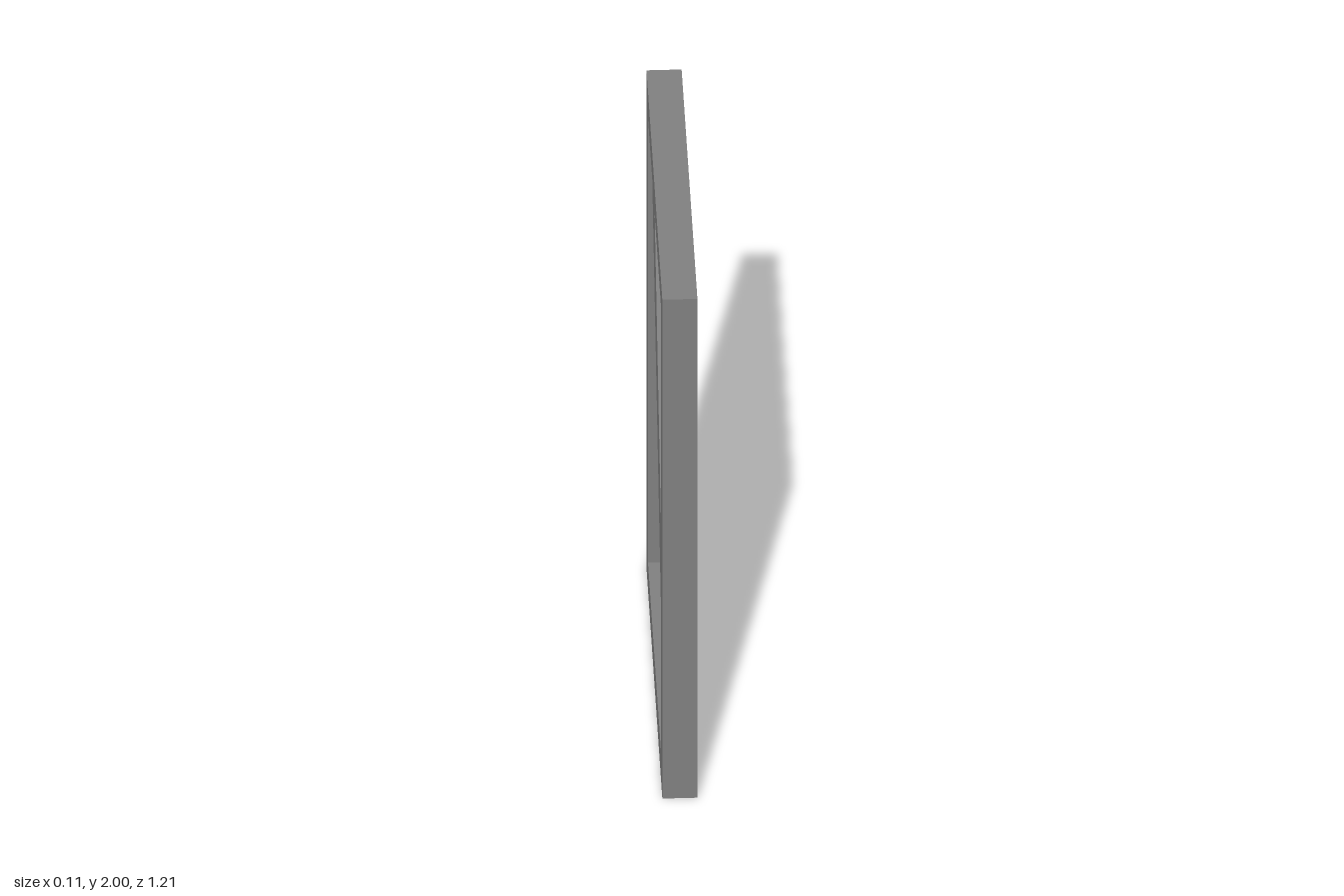
import * as THREE from 'three';

export function createModel() {
  const model = new THREE.Group();
  const grey = new THREE.MeshStandardMaterial({ color: 0x808080 });
  grey.name = 'grey';

  const outline = (points) => new THREE.Shape(points.map(([u, y]) => new THREE.Vector2(u, y)));
  const rectangle = (u0, y0, u1, y1) => [[u0, y0], [u1, y0], [u1, y1], [u0, y1]];

  // Each layer is drawn in the door's plane (u = -z, y) and centred on x = 0
  function addLayer(name, shape, thickness) {
    const geometry = new THREE.ExtrudeGeometry(shape, { depth: thickness, bevelEnabled: false });
    geometry.translate(0, 0, -thickness / 2);
    geometry.rotateY(Math.PI / 2);
    const mesh = new THREE.Mesh(geometry, grey);
    mesh.name = name;
    model.add(mesh);
  }

  const opening = rectangle(-0.497, 0.11, 0.493, 1.895);

  // Outer frame around the opening
  const frame = outline(rectangle(-0.603, 0, 0.603, 2));
  frame.holes.push(outline(opening));
  addLayer('frame', frame, 0.112);

  // Thin recessed panel
  addLayer('panel', outline(opening), 0.036);

  // Diagonal brace, trimmed to the opening and proud of the panel on both sides
  const brace = outline([
    [-0.497, 0.11], [-0.407, 0.11], [0.493, 1.745],
    [0.493, 1.895], [0.39, 1.895], [-0.497, 0.285],
  ]);
  addLayer('diagonalBrace', brace, 0.088);

  return model;
}
